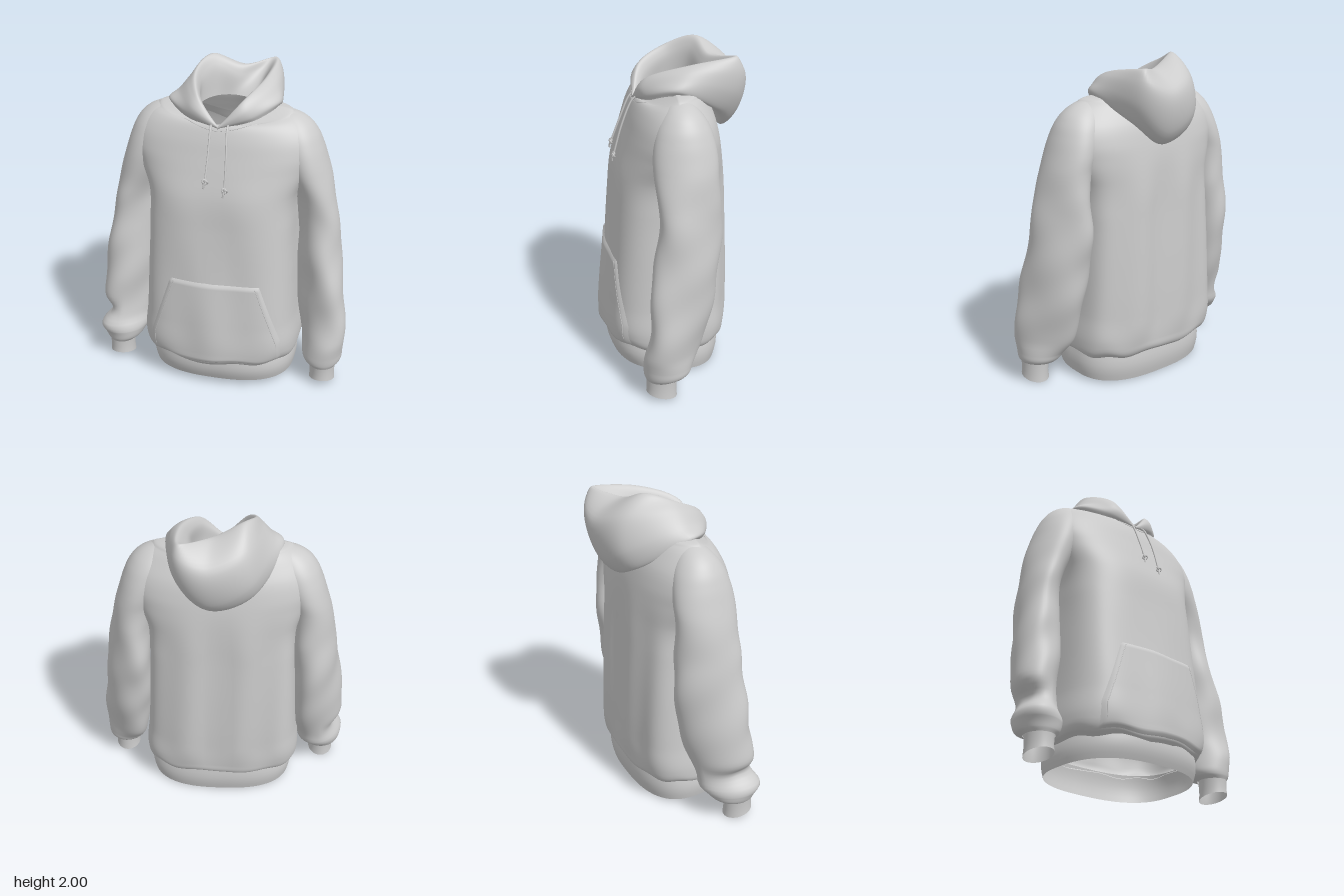
import * as THREE from 'three';

const V = (x, y, z) => new THREE.Vector3(x, y, z);
const cloth = new THREE.MeshStandardMaterial({ color: 0xcccccc, side: THREE.DoubleSide, roughness: 0.9 });

function add(parent, name, geometry) {
  const m = new THREE.Mesh(geometry, cloth);
  m.name = name;
  parent.add(m);
  return m;
}

// Skin a list of point rows with smooth normals
function skin(rows, closed = true) {
  const n = rows[0].length, pos = [], idx = [];
  rows.forEach(r => r.forEach(p => pos.push(p.x, p.y, p.z)));
  for (let j = 0; j < rows.length - 1; j++) {
    for (let i = 0; i < (closed ? n : n - 1); i++) {
      const a = j * n + i, b = j * n + (i + 1) % n;
      idx.push(a, b, b + n, a, b + n, a + n);
    }
  }
  const g = new THREE.BufferGeometry();
  g.setAttribute('position', new THREE.Float32BufferAttribute(pos, 3));
  g.setIndex(idx);
  g.computeVertexNormals();
  return g;
}

// Smooth lookup in a table whose first column is the height
function table(keys) {
  const c = new THREE.CubicInterpolant(keys.map(k => k[0]), keys.flatMap(k => k.slice(1)), keys[0].length - 1);
  return y => Array.from(c.evaluate(y));
}

// Heights between the keys, evenly divided per interval
function heights(keys, steps) {
  const out = [];
  for (let i = 0; i < keys.length - 1; i++)
    for (let k = 0; k < steps; k++) out.push(THREE.MathUtils.lerp(keys[i][0], keys[i + 1][0], k / steps));
  return [...out, keys[keys.length - 1][0]];
}

const power = (s, n) => Math.sign(s) * Math.abs(s) ** (2 / n);
const ring = (fn, n = 96) => Array.from({ length: n }, (_, i) => fn(i / n * Math.PI * 2));
const smooth = THREE.MathUtils.smoothstep;
const tube = (pts, r, n = 40) => new THREE.TubeGeometry(new THREE.CatmullRomCurve3(pts), n, r, 6);

// Body: height, half width, front z, back z, squareness, front drop
const bodyKeys = [
  [0.165, 0.455, 0.385, -0.295, 2.7, 0], [0.19, 0.485, 0.405, -0.32, 2.8, 0],
  [0.25, 0.498, 0.41, -0.33, 3.2, 0], [0.45, 0.48, 0.40, -0.335, 3.4, 0],
  [0.75, 0.463, 0.375, -0.33, 3.5, 0], [1.05, 0.45, 0.35, -0.32, 3.5, 0],
  [1.25, 0.46, 0.33, -0.315, 3.1, 0], [1.4, 0.525, 0.29, -0.305, 2.6, 0],
  [1.5, 0.56, 0.26, -0.29, 2.4, 0], [1.6, 0.55, 0.23, -0.265, 2.2, 0],
  [1.68, 0.495, 0.2, -0.23, 2, 0.01], [1.735, 0.42, 0.18, -0.205, 1.9, 0.05],
  [1.762, 0.34, 0.17, -0.195, 1.9, 0.09], [1.769, 0.24, 0.16, -0.19, 2, 0.1],
];
const bodyAt = table(bodyKeys);

function bodyPoint(y, t) {
  const [a, zf, zb, n, drop] = bodyAt(y);
  const s = Math.sin(t), c = Math.cos(t), x = a * power(s, n);
  let z = (c > 0 ? zf : -zb) * power(c, n);
  const fade = smooth(y, 0.17, 0.4) * (1 - smooth(y, 1.1, 1.5));
  if (c < 0) z += 0.011 * fade * Math.sin(x * 20 + y) * smooth(-c, 0, 0.5);
  else {
    z += 0.025 * Math.exp(-((x / 0.13) ** 2)) * (1 - smooth(y, 0.3, 1.1));
    z += 0.003 * fade * Math.sin(x * 17 + y * 4) * smooth(c, 0, 0.5);
  }
  // Puckering above the hem seam
  const pucker = 0.008 * Math.sin(9 * t) * (1 - smooth(y, 0.18, 0.35));
  return V(x, y - drop * Math.max(0, c) + pucker, z);
}

// Point on the front of the body at a given x
function bodyFront(x, y, lift = 0) {
  const [a, , , n] = bodyAt(y);
  const p = bodyPoint(y, Math.asin(power(THREE.MathUtils.clamp(x / a, -1, 1), 4 / n)));
  p.z += lift;
  return p;
}

// Sleeve and shoulder cap: height, centre x, half width, centre z, half depth
const sleeveKeys = [
  [0.125, 0.67, 0.085, 0.15, 0.095], [0.15, 0.665, 0.115, 0.125, 0.13],
  [0.21, 0.658, 0.132, 0.105, 0.15], [0.4, 0.642, 0.153, 0.05, 0.165],
  [0.6, 0.62, 0.157, 0.015, 0.183], [0.8, 0.602, 0.148, -0.01, 0.192],
  [1.0, 0.584, 0.137, -0.035, 0.185], [1.2, 0.563, 0.125, -0.03, 0.18],
  [1.35, 0.53, 0.125, -0.02, 0.187], [1.45, 0.498, 0.127, -0.02, 0.187],
  [1.55, 0.46, 0.132, -0.02, 0.172], [1.63, 0.425, 0.13, -0.02, 0.145],
  [1.69, 0.395, 0.11, -0.02, 0.105], [1.725, 0.365, 0.085, -0.02, 0.07],
  [1.75, 0.33, 0.05, -0.02, 0.03],
];

function buildSleeve(side, name) {
  const g = new THREE.Group();
  g.name = name;
  const at = table(sleeveKeys);
  add(g, 'sleeve', skin(heights(sleeveKeys, 8).map(y => ring(t => {
    const [cx, rx, cz, rz] = at(y);
    const fade = smooth(y, 0.14, 0.3) * (1 - smooth(y, 1.1, 1.4));
    let k = 1 + 0.035 * fade * Math.sin(3 * t + y * 9 * side) + 0.02 * fade * Math.sin(2 * t - y * 19);
    // The right sleeve bunches above its cuff
    if (side < 0) {
      k += 0.13 * Math.exp(-(((y - 0.23) / 0.045) ** 2));
      k -= 0.42 * Math.max(0, -Math.sin(t)) * Math.exp(-(((y - 0.34) / 0.06) ** 2));
    }
    // The outer side of the arm swings forward
    const dx = k * rx * Math.sin(t);
    return V(side * cx + dx, y, cz + k * rz * Math.cos(t) + 0.45 * fade * side * dx);
  }, 56))));
  // Ribbed cuff, open at the wrist
  add(g, 'cuff', skin([0, 0.3, 0.7, 1].map(v => ring(t => {
    const r = 0.076 + 0.012 * Math.abs(v - 0.4);
    return V(side * 0.672 + r * Math.sin(t), 0.02 + 0.14 * v + (1 - v) * 0.02 * Math.cos(t), 0.152 + (r + 0.012) * Math.cos(t));
  }, 48))));
  return g;
}

// Hood rings from the neck seam outward; eight points each, front first, then towards the left
const hoodOuter = [
  [[0, 1.665, 0.195], [0.2, 1.71, 0.14], [0.31, 1.755, 0], [0.24, 1.69, -0.18], [0, 1.62, -0.25], [-0.24, 1.69, -0.18], [-0.33, 1.74, 0], [-0.2, 1.7, 0.14]],
  [[0, 1.675, 0.205], [0.19, 1.735, 0.16], [0.33, 1.785, -0.02], [0.24, 1.63, -0.28], [0.05, 1.485, -0.32], [-0.2, 1.58, -0.29], [-0.355, 1.765, -0.02], [-0.2, 1.73, 0.16]],
  [[0, 1.685, 0.205], [0.17, 1.775, 0.168], [0.31, 1.835, -0.06], [0.265, 1.74, -0.36], [0.07, 1.575, -0.41], [-0.18, 1.69, -0.365], [-0.3, 1.815, -0.06], [-0.18, 1.78, 0.168]],
  [[0, 1.69, 0.2], [0.15, 1.81, 0.157], [0.275, 1.885, -0.08], [0.26, 1.88, -0.385], [0.07, 1.81, -0.438], [-0.155, 1.88, -0.34], [-0.235, 1.895, -0.05], [-0.155, 1.82, 0.157]],
];
const hoodInner = [
  [[0, 1.69, 0.193], [0.135, 1.825, 0.14], [0.23, 1.91, -0.1], [0.23, 1.95, -0.37], [0.05, 1.925, -0.25], [-0.125, 1.995, -0.2], [-0.19, 1.94, -0.04], [-0.135, 1.84, 0.14]],
  [[0, 1.68, 0.18], [0.12, 1.79, 0.11], [0.19, 1.85, -0.08], [0.18, 1.89, -0.3], [0.04, 1.87, -0.21], [-0.1, 1.93, -0.16], [-0.16, 1.88, -0.04], [-0.118, 1.79, 0.11]],
  [[0, 1.655, 0.175], [0.13, 1.69, 0.1], [0.18, 1.735, -0.02], [0.13, 1.75, -0.13], [0, 1.755, -0.17], [-0.11, 1.75, -0.12], [-0.16, 1.735, 0], [-0.12, 1.69, 0.1]],
];

function hoodGeometry() {
  const loops = [...hoodOuter, ...hoodInner].map(r => {
    const p = r.map(q => V(...q)), f = p.shift();
    // Two close front points keep the collar V sharp
    const c = new THREE.CatmullRomCurve3([V(0.012, f.y, f.z), ...p, V(-0.012, f.y, f.z)], true, 'catmullrom', 0.5);
    return Array.from({ length: 108 }, (_, i) => c.getPoint(i / 108));
  });
  const columns = loops[0].map((_, i) => new THREE.CatmullRomCurve3(loops.map(l => l[i])).getPoints(48));
  return skin(columns[0].map((_, j) => columns.map(c => c[j])));
}

// Pouch pocket: half width by height, slanted hand openings
const pocketHalf = y => y > 0.34 ? THREE.MathUtils.mapLinear(y, 0.34, 0.735, 0.415, 0.28) : 0.415;

function pocketGeometry() {
  const rows = [];
  for (let j = 0; j <= 32; j++) {
    const y = 0.19 + 0.545 * j / 32;
    const row = [];
    for (let i = 0; i <= 48; i++) {
      const u = i / 24 - 1, edge = i === 0 || i === 48 || j === 0 || j === 32;
      row.push(bodyFront(0.015 + u * pocketHalf(y), y, edge ? -0.004 : 0.011));
    }
    rows.push(row);
  }
  return skin(rows, false);
}

export function createModel() {
  const hoodie = new THREE.Group();
  hoodie.name = 'hoodie';

  add(hoodie, 'body', skin(heights(bodyKeys, 7).map(y => ring(t => bodyPoint(y, t), 144))));

  // Hem band, open underneath
  add(hoodie, 'hemBand', skin([0, 0.2, 0.4, 0.6, 0.8, 1].map(v => ring(t => {
    const s = Math.sin(t), c = Math.cos(t), out = 0.012 * Math.sin(v * Math.PI);
    const z = (c > 0 ? 0.375 + 0.025 * v : 0.288 + 0.012 * v) + out;
    return V(0.008 + (0.455 + out) * power(s, 2.6), 0.025 + 0.16 * v + (1 - v) * 0.02 * c, z * power(c, 2.6));
  }))));

  hoodie.add(buildSleeve(1, 'leftSleeve'), buildSleeve(-1, 'rightSleeve'));
  add(hoodie, 'hood', hoodGeometry());
  add(hoodie, 'pocket', pocketGeometry());

  // Stitching on the pocket openings, and below the collar
  const line = (n, fn) => Array.from({ length: n + 1 }, (_, i) => fn(i / n));
  for (const s of [-1, 1])
    add(hoodie, 'pocketStitch', tube(line(20, v => {
      const y = 0.24 + 0.48 * v;
      return bodyFront(0.015 + s * (pocketHalf(y) - 0.03), y, 0.0105);
    }), 0.0025));
  add(hoodie, 'collarStitch', tube(line(24, v => {
    const x = (v - 0.5) * 0.44;
    return bodyFront(x, 1.657 + 2 * x * x, 0);
  }), 0.0025));

  // Drawstrings with knotted ends
  for (const [x0, x1, y1] of [[-0.04, -0.045, 1.38], [0.06, 0.072, 1.335]]) {
    const end = V(x1, y1, 0.335);
    add(hoodie, 'drawstring', tube([V(x0, 1.69, 0.195), V(x0, 1.66, 0.222), V((x0 + x1) / 2 + 0.003, 1.52, 0.282), end], 0.006));
    const knot = add(hoodie, 'drawstringKnot', new THREE.TorusKnotGeometry(0.011, 0.006, 48, 6));
    knot.position.copy(end);
    add(hoodie, 'drawstringTail', tube([end, V(x1 - 0.004, y1 - 0.02, 0.342), V(x1 - 0.008, y1 - 0.04, 0.343)], 0.006, 8));
  }
  return hoodie;
}
